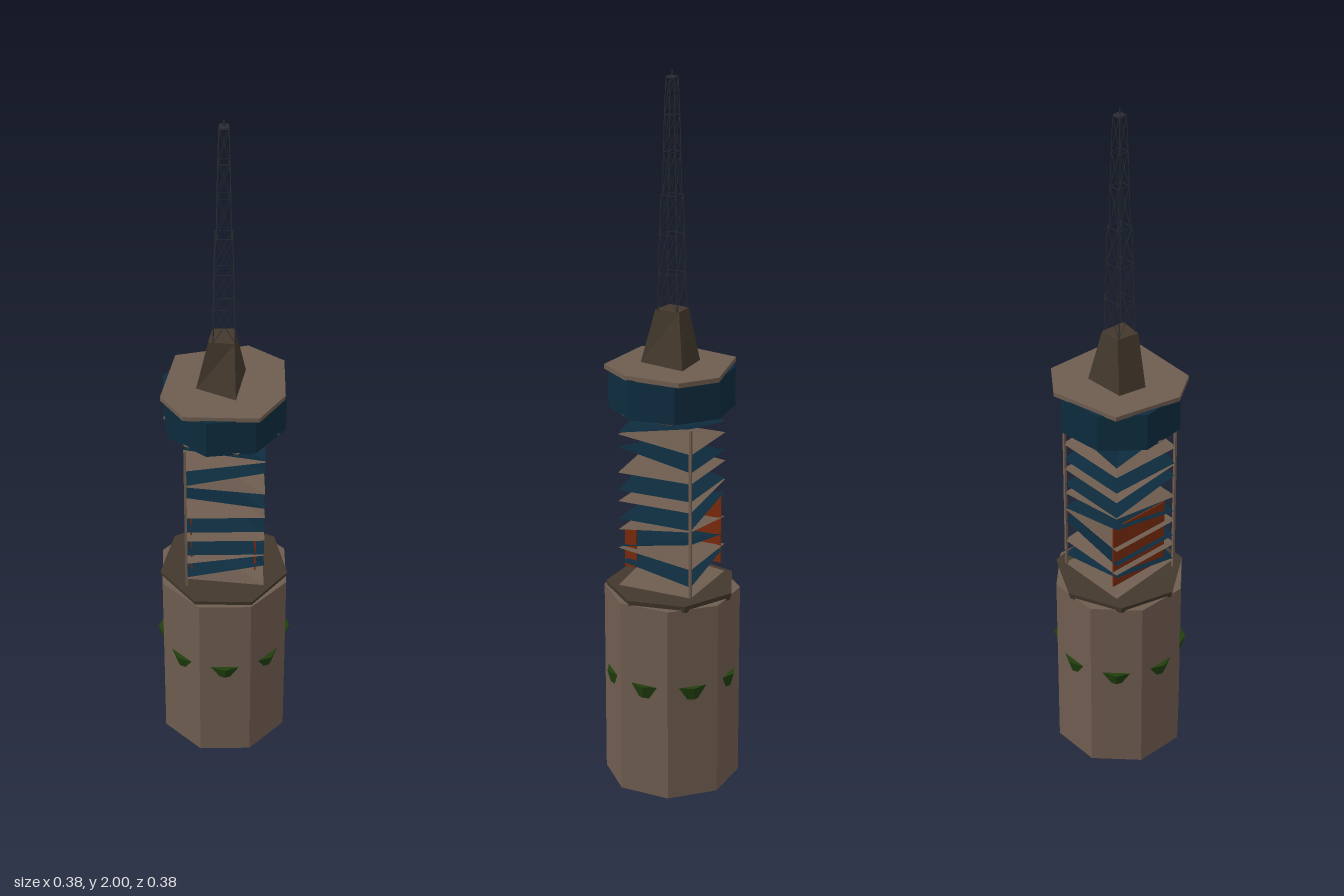
import * as THREE from 'three';

const mat = (name, color) => new THREE.MeshStandardMaterial({ name, color, side: THREE.DoubleSide });
const stone = mat('stone', 0x6e5c4f);
const darkStone = mat('darkStone', 0x43382c);
const glass = mat('blueGlass', 0x0d2b3d);
const leaf = mat('foliage', 0x213f0d);
const rust = mat('rustPanel', 0x7a2a0c);
const steel = mat('steel', 0x2a2b32);

// Regular outline, counter-clockwise seen from above
const ngon = (n, r, turn = 0) => Array.from({ length: n }, (_, i) => {
  const t = turn + (i / n) * Math.PI * 2;
  return [r * Math.sin(t), r * Math.cos(t)];
});

function faceted(positions) {
  const g = new THREE.BufferGeometry();
  g.setAttribute('position', new THREE.Float32BufferAttribute(positions, 3));
  g.computeVertexNormals();
  return g;
}

// Flat-shaded closed solid between a lower and an upper outline
function loft(low, y0, high, y1) {
  const p = [];
  const mean = (o, k) => o.reduce((s, q) => s + q[k], 0) / o.length;
  for (let i = 0; i < low.length; i++) {
    const j = (i + 1) % low.length;
    const a = [low[i][0], y0, low[i][1]], b = [low[j][0], y0, low[j][1]];
    const c = [high[j][0], y1, high[j][1]], d = [high[i][0], y1, high[i][1]];
    p.push(...a, ...b, ...c, ...a, ...c, ...d);
    p.push(mean(low, 0), y0, mean(low, 1), ...b, ...a);
    p.push(mean(high, 0), y1, mean(high, 1), ...d, ...c);
  }
  return faceted(p);
}

function add(parent, name, geometry, material, x = 0, y = 0, z = 0) {
  const m = new THREE.Mesh(geometry, material);
  m.name = name;
  m.position.set(x, y, z);
  parent.add(m);
  return m;
}

// Thin square rod between two points
function strut(parent, name, a, b, r) {
  const d = b.clone().sub(a);
  const m = add(parent, name, new THREE.CylinderGeometry(r, r, d.length(), 4), steel);
  m.position.copy(a).add(b).multiplyScalar(0.5);
  m.quaternion.setFromUnitVectors(new THREE.Vector3(0, 1, 0), d.normalize());
}

// Square plate folded along a diagonal; lifts are the corner heights
function foldedPlate(s, lifts) {
  const c = [[s, s], [s, -s], [-s, -s], [-s, s]].map(([x, z], i) => [x, lifts[i], z]);
  return faceted([...c[0], ...c[1], ...c[2], ...c[0], ...c[2], ...c[3]]);
}

export function createModel() {
  const tower = new THREE.Group();
  tower.name = 'tower';

  // Base column with roof slab and planting ring
  const e = Math.PI / 8;
  const foot = ngon(8, 0.19, e);
  add(tower, 'baseColumn', loft(foot, 0, foot, 0.567), stone);
  add(tower, 'baseRoof', loft(ngon(7, 0.181, 0.42), 0.56, ngon(7, 0.185, 0.42), 0.58), darkStone);
  add(tower, 'plantingRing', loft(ngon(8, 0.182), 0.298, ngon(8, 0.192), 0.335), leaf);

  // Open shaft: alternating stone and glass floors
  const shaft = new THREE.Group();
  shaft.name = 'shaft';
  tower.add(shaft);
  for (let i = 0; i < 6; i++) {
    const y = 0.59 + i * 0.0825;
    const low = [0, 0, 0, 0], high = [0, 0, 0, 0];
    low[(i + 3) % 4] = 0.028;
    high[i % 4] = 0.042;
    if (i % 5 === 0) high[(i + 2) % 4] = 0.042;
    add(shaft, 'stoneFloor', foldedPlate(0.11, low), stone, 0, y, 0);
    add(shaft, 'glassFloor', foldedPlate(0.11, high), glass, 0, y + 0.032, 0);
  }

  // Corner posts and rust-coloured wall panels
  for (const s of [1, -1]) {
    add(shaft, 'cornerPost', new THREE.BoxGeometry(0.007, 0.48, 0.007), stone, s * 0.107, 0.83, -s * 0.107);
  }
  add(shaft, 'rustPanel', new THREE.BoxGeometry(0.004, 0.2, 0.19), rust, -0.092, 0.722, -0.012);
  add(shaft, 'rustPanel', new THREE.BoxGeometry(0.004, 0.11, 0.035), rust, 0.085, 0.695, 0.085);

  // Observation deck: glass drum between floor and roof
  const drum = ngon(8, 0.172, e + 0.1);
  add(tower, 'deckFloor', loft(ngon(7, 0.155, 0.2), 1.088, ngon(7, 0.165, 0.2), 1.1), stone);
  add(tower, 'deckWindows', loft(drum, 1.095, drum, 1.205), glass);
  const roof = [[0.09, 0.16], [0.162, 0.06], [0.165, -0.1], [0.07, -0.172],
    [-0.13, -0.13], [-0.17, 0.06], [-0.11, 0.15]];
  add(tower, 'deckRoof', loft(roof, 1.203, roof, 1.216), stone);

  // Tapered mast plinth
  const plinthFoot = [[0.03, 0.08], [0.06, -0.06], [-0.06, -0.055], [-0.075, 0.025]];
  const plinthTop = [[0.027, 0.037], [0.03, -0.035], [-0.03, -0.035], [-0.042, 0.028]];
  add(tower, 'mastPlinth', loft(plinthFoot, 1.214, plinthTop, 1.367), darkStone);

  // Lattice mast: each row is bottom height, top height, lower and upper half width
  const mast = new THREE.Group();
  mast.name = 'latticeMast';
  tower.add(mast);
  const bays = [[1.365, 1.465, 0.029, 0.027], [1.465, 1.57, 0.027, 0.025], [1.57, 1.675, 0.025, 0.022],
    [1.675, 1.79, 0.019, 0.017], [1.79, 1.885, 0.017, 0.015], [1.885, 1.98, 0.015, 0.012]];
  const corners = [[1, 1], [1, -1], [-1, -1], [-1, 1]];
  for (const [y0, y1, w0, w1] of bays) {
    const bottom = corners.map(([x, z]) => new THREE.Vector3(x * w0, y0, z * w0));
    const top = corners.map(([x, z]) => new THREE.Vector3(x * w1, y1, z * w1));
    for (let i = 0; i < 4; i++) {
      const j = (i + 1) % 4;
      strut(mast, 'mastLeg', bottom[i], top[i], 0.0014);
      strut(mast, 'mastRail', top[i], top[j], 0.001);
      strut(mast, 'mastBrace', bottom[i], top[j], 0.0008);
      strut(mast, 'mastBrace', bottom[j], top[i], 0.0008);
    }
  }
  add(mast, 'mastCap', new THREE.BoxGeometry(0.024, 0.005, 0.024), steel, 0, 1.982, 0);
  add(mast, 'mastTip', new THREE.CylinderGeometry(0.002, 0.003, 0.018, 4), steel, 0, 1.991, 0);

  return tower;
}
